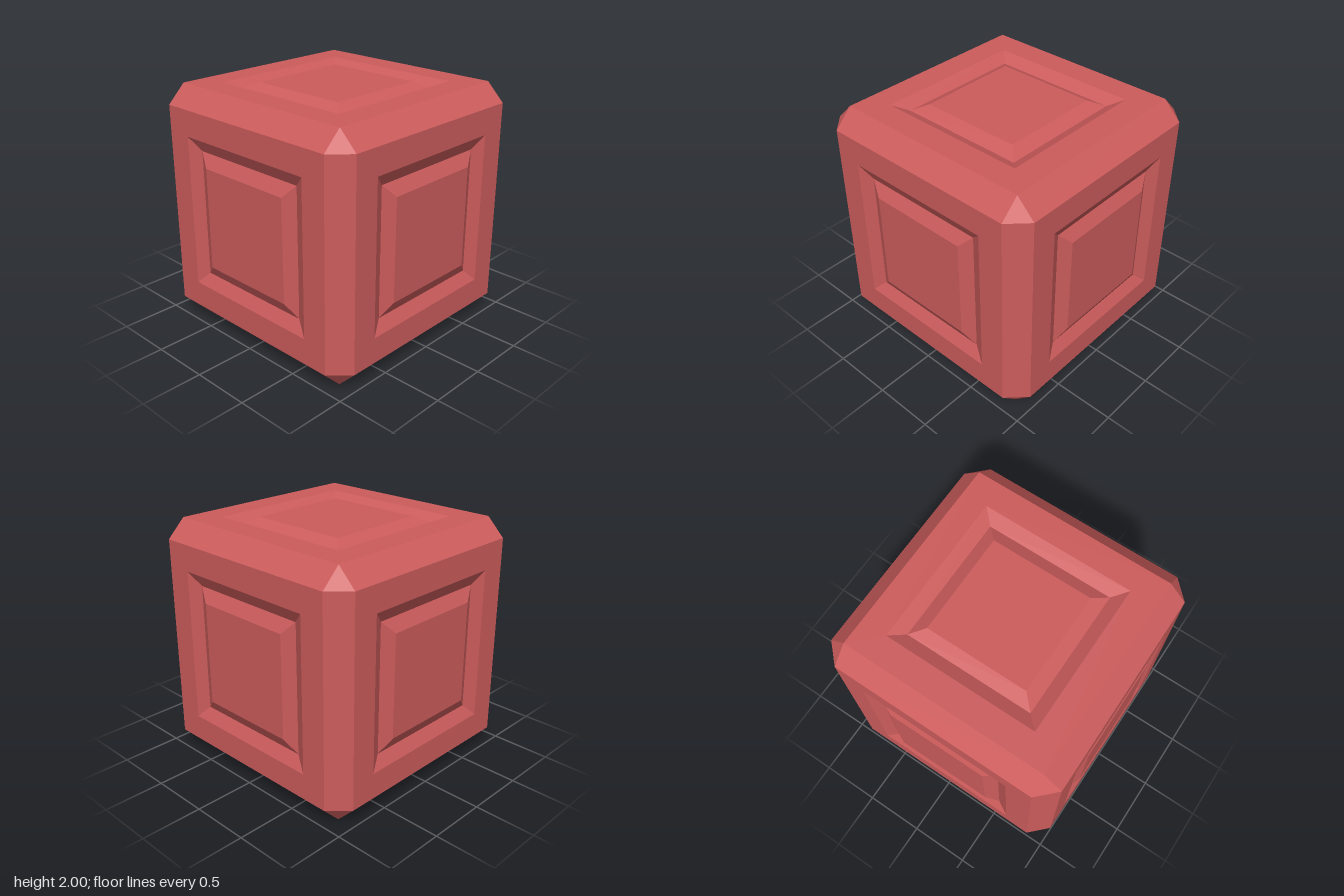
import * as THREE from 'three';

const HALF = 1, FLAT = 0.85;
// Concentric squares of one face: [half width, distance from the cube centre]
const RINGS = [[FLAT, HALF], [0.635, HALF], [0.53, 0.947], [0.425, HALF]];

const v = (x, y, z) => new THREE.Vector3(x, y, z);

// Flat-shaded geometry from convex polygons, each wound to face away from the centre
function polygons(faces) {
  const pos = [];
  for (const face of faces) {
    const normal = face[1].clone().sub(face[0]).cross(face[2].clone().sub(face[0]));
    const middle = face.reduce((sum, p) => sum.add(p), v(0, 0, 0));
    const f = normal.dot(middle) < 0 ? [...face].reverse() : face;
    for (let i = 1; i < f.length - 1; i++) {
      for (const p of [f[0], f[i], f[i + 1]]) pos.push(p.x, p.y, p.z);
    }
  }
  const geometry = new THREE.BufferGeometry();
  geometry.setAttribute('position', new THREE.Float32BufferAttribute(pos, 3));
  geometry.computeVertexNormals();
  return geometry;
}

// One face looking along +z: flat border, V groove and centre panel
function facePanelGeometry() {
  const squares = RINGS.map(([r, d]) => [v(-r, -r, d), v(r, -r, d), v(r, r, d), v(-r, r, d)]);
  const faces = [squares[squares.length - 1]];
  for (let k = 0; k < squares.length - 1; k++) {
    for (let i = 0; i < 4; i++) {
      const j = (i + 1) % 4;
      faces.push([squares[k][i], squares[k][j], squares[k + 1][j], squares[k + 1][i]]);
    }
  }
  return polygons(faces);
}

// Twelve edge chamfers: four along each axis
function edgeChamferGeometry() {
  const faces = [];
  for (let axis = 0; axis < 3; axis++) {
    const point = (along, a, b) => {
      const c = [0, 0, 0];
      c[axis] = along;
      c[(axis + 1) % 3] = a;
      c[(axis + 2) % 3] = b;
      return v(...c);
    };
    for (const s of [-1, 1]) for (const t of [-1, 1]) {
      faces.push([
        point(-FLAT, s * HALF, t * FLAT), point(FLAT, s * HALF, t * FLAT),
        point(FLAT, s * FLAT, t * HALF), point(-FLAT, s * FLAT, t * HALF),
      ]);
    }
  }
  return polygons(faces);
}

// Eight corner triangles
function cornerGeometry() {
  const faces = [];
  for (const x of [-1, 1]) for (const y of [-1, 1]) for (const z of [-1, 1]) {
    faces.push([
      v(x * HALF, y * FLAT, z * FLAT),
      v(x * FLAT, y * HALF, z * FLAT),
      v(x * FLAT, y * FLAT, z * HALF),
    ]);
  }
  return polygons(faces);
}

export function createModel() {
  const model = new THREE.Group();
  model.name = 'panelledCube';
  const material = new THREE.MeshStandardMaterial({ color: 0xcd5c5c, flatShading: true });

  const add = (name, geometry, rx = 0, ry = 0) => {
    const mesh = new THREE.Mesh(geometry, material);
    mesh.name = name;
    mesh.position.y = HALF;
    mesh.rotation.set(rx, ry, 0);
    model.add(mesh);
  };

  // Six identical grooved faces
  const panel = facePanelGeometry();
  const q = Math.PI / 2;
  add('frontPanel', panel);
  add('leftPanel', panel, 0, q);
  add('backPanel', panel, 0, 2 * q);
  add('rightPanel', panel, 0, -q);
  add('topPanel', panel, -q);
  add('bottomPanel', panel, q);

  // Bevels joining the faces
  add('edgeChamfers', edgeChamferGeometry());
  add('cornerChamfers', cornerGeometry());
  return model;
}
